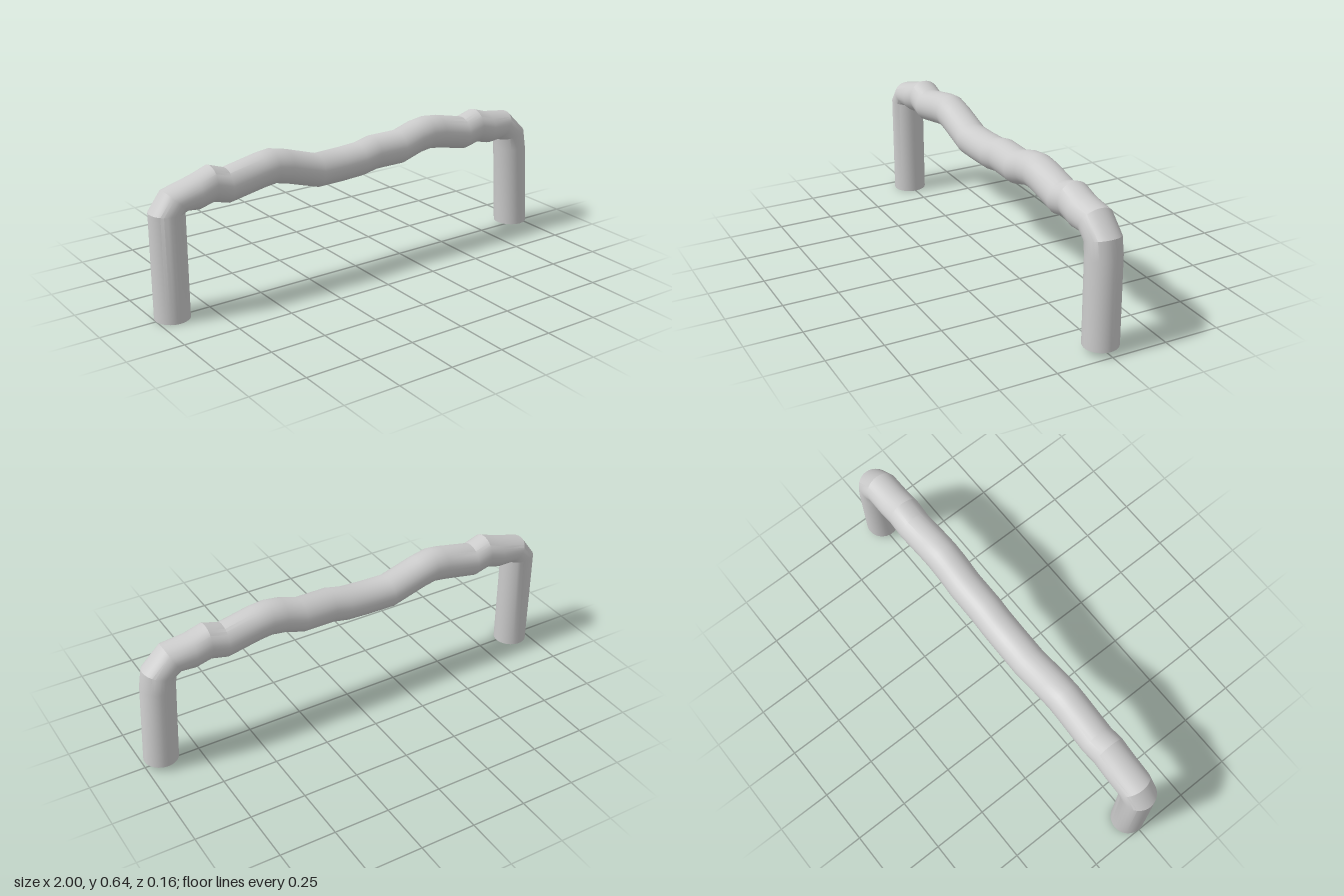
import * as THREE from 'three';
import { toCreasedNormals } from 'three/addons/utils/BufferGeometryUtils.js';

const SIDES = 32;
const HALF_DEPTH = 0.0765;

// Mitred rings along the bar: outer x, y, inner x, y, centre z
const Z = -0.002;
const rings = [
  [-1, 0, -0.848, 0, Z],
  [-1, 0.47, -0.848, 0.465, Z],
  [-0.936, 0.557, -0.84, 0.46, Z],
  [-0.795, 0.598, -0.79, 0.452, Z],
  [-0.722, 0.625, -0.722, 0.47, Z],
  [-0.65, 0.6, -0.65, 0.45, Z],
  [-0.49, 0.633, -0.48, 0.482, Z],
  [-0.43, 0.64, -0.425, 0.489, Z],
  [-0.35, 0.622, -0.37, 0.477, Z],
  [-0.2, 0.575, -0.21, 0.428, Z],
  [-0.08, 0.578, -0.08, 0.43, Z],
  [0.015, 0.584, 0.02, 0.435, Z],
  [0.09, 0.602, 0.095, 0.45, Z],
  [0.23, 0.602, 0.24, 0.45, Z],
  [0.32, 0.63, 0.335, 0.48, Z],
  [0.39, 0.64, 0.395, 0.489, Z],
  [0.46, 0.633, 0.45, 0.482, Z],
  [0.6, 0.602, 0.6, 0.452, Z],
  [0.677, 0.625, 0.677, 0.47, Z],
  [0.75, 0.602, 0.75, 0.452, Z],
  [0.87, 0.586, 0.807, 0.46, Z],
  [0.965, 0.493, 0.823, 0.455, Z],
  [0.98, 0.41, 0.83, 0.405, Z],
  [0.997, 0.025, 0.845, 0.025, 0.0075],
];

// Skins the rings into a closed tube with flat ends
function skinRings() {
  const pos = [], index = [];
  const at = (i, j) => i * SIDES + (j % SIDES);
  for (const [ox, oy, ix, iy, z] of rings) {
    for (let j = 0; j < SIDES; j++) {
      const a = (j / SIDES) * Math.PI * 2, c = Math.cos(a) / 2;
      pos.push((ox + ix) / 2 + c * (ox - ix), (oy + iy) / 2 + c * (oy - iy), z + Math.sin(a) * HALF_DEPTH);
    }
  }
  const last = rings.length - 1;
  for (let i = 0; i < last; i++) {
    for (let j = 0; j < SIDES; j++) {
      index.push(at(i, j), at(i, j + 1), at(i + 1, j));
      index.push(at(i, j + 1), at(i + 1, j + 1), at(i + 1, j));
    }
  }
  for (let j = 1; j < SIDES - 1; j++) {
    index.push(at(0, 0), at(0, j + 1), at(0, j));
    index.push(at(last, 0), at(last, j), at(last, j + 1));
  }
  const geo = new THREE.BufferGeometry();
  geo.setAttribute('position', new THREE.Float32BufferAttribute(pos, 3));
  geo.setIndex(index);
  return toCreasedNormals(geo, 0.45);
}

export function createModel() {
  const group = new THREE.Group();
  group.name = 'handle';
  const bar = new THREE.Mesh(skinRings(), new THREE.MeshStandardMaterial({ color: 0xcccccc }));
  bar.name = 'gripBar';
  group.add(bar);
  return group;
}
